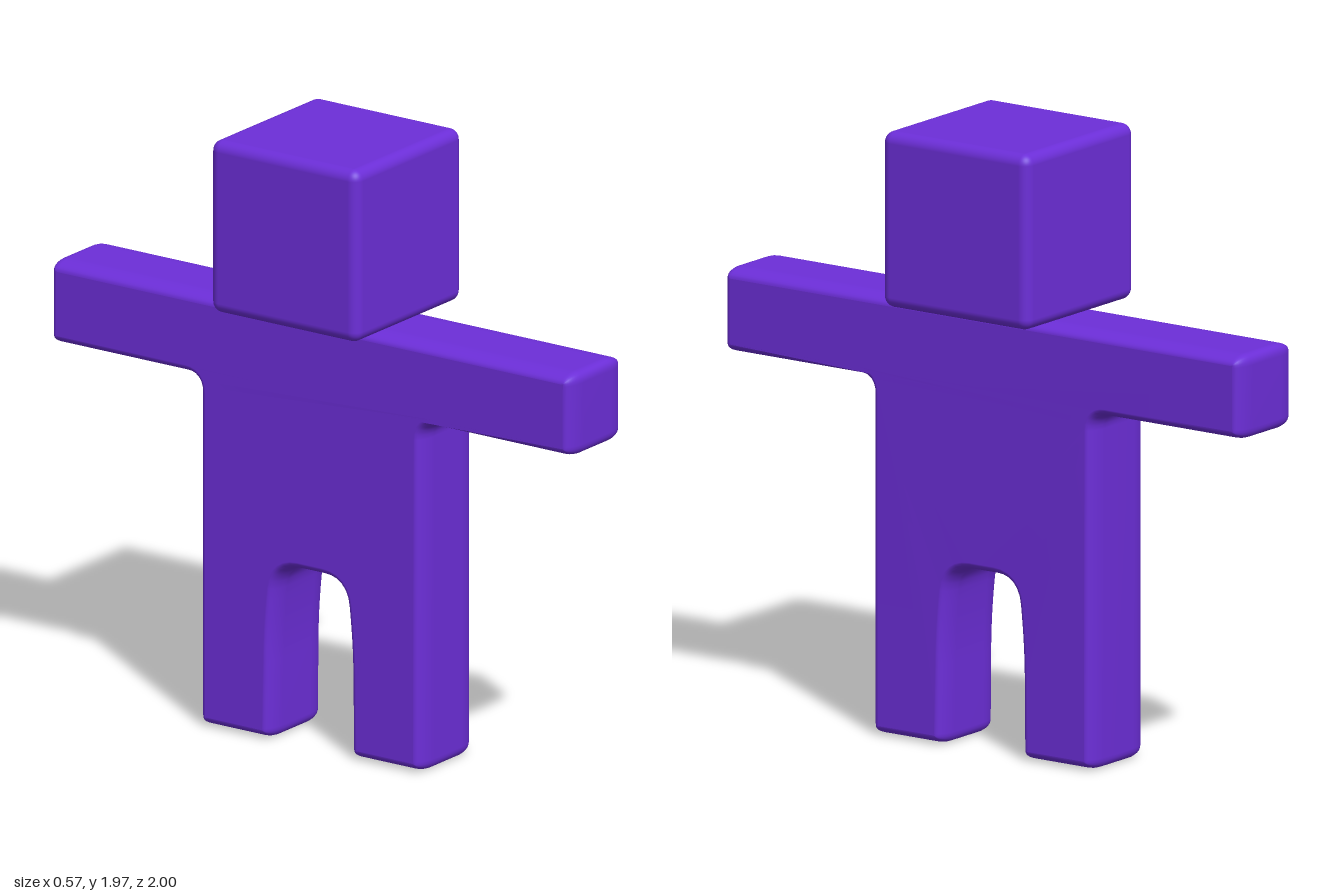
import * as THREE from 'three';
import { mergeVertices } from 'three/addons/utils/BufferGeometryUtils.js';
import { RoundedBoxGeometry } from 'three/addons/geometries/RoundedBoxGeometry.js';

// Closed outline from [x, y, cornerRadius] points
function roundedShape(points) {
  const shape = new THREE.Shape();
  const n = points.length;
  points.forEach(([x, y, r], i) => {
    const p = new THREE.Vector2(x, y);
    const towards = ([qx, qy]) =>
      new THREE.Vector2(qx, qy).sub(p).setLength(r).add(p);
    const a = towards(points[(i + n - 1) % n]);
    const b = towards(points[(i + 1) % n]);
    if (i === 0) shape.moveTo(a.x, a.y);
    else shape.lineTo(a.x, a.y);
    shape.quadraticCurveTo(x, y, b.x, b.y);
  });
  shape.closePath();
  return shape;
}

// Join the faces so the whole surface shades smoothly
function smooth(geometry) {
  geometry.deleteAttribute('uv');
  geometry.deleteAttribute('normal');
  const merged = mergeVertices(geometry, 1e-4);
  merged.computeVertexNormals();
  return merged;
}

export function createModel() {
  const model = new THREE.Group();
  model.name = 'blockFigure';
  const purple = new THREE.MeshStandardMaterial({ color: 0x6c2ed8 });
  purple.name = 'purple';

  const add = (name, geometry, y) => {
    const mesh = new THREE.Mesh(geometry, purple);
    mesh.name = name;
    mesh.position.y = y;
    model.add(mesh);
  };

  // Half outline of legs, torso and arms, from crotch to shoulder
  const half = [
    [0.125, 0.575, 0.08],
    [0.147, 0.36, 0.1],
    [0.15, 0.003, 0.035],
    [0.428, 0.003, 0.035],
    [0.428, 1.14, 0.05],
    [1, 1.14, 0.035],
    [1, 1.41, 0.035],
  ];
  const mirrored = half.map(([x, y, r]) => [-x, y, r]).reverse();

  // Body is extruded sideways with a soft, elliptical bevel
  const bevel = 0.07;
  const width = 0.284;
  const body = new THREE.ExtrudeGeometry(roundedShape([...half, ...mirrored]), {
    depth: width - 2 * bevel,
    curveSegments: 6,
    bevelEnabled: true,
    bevelThickness: bevel,
    bevelSize: 0.03,
    bevelOffset: -0.03,
    bevelSegments: 8,
  });
  body.translate(0, 0, bevel - width / 2 + (bevel - bevel));
  body.rotateY(Math.PI / 2);
  add('body', smooth(body), 0);

  // Short neck joining the shoulders to the head
  add('neck', new THREE.BoxGeometry(0.27, 0.06, 0.3), 1.41);

  // Cube head with softened edges
  add('head', new RoundedBoxGeometry(0.566, 0.562, 0.566, 5, 0.035), 1.696);

  return model;
}
